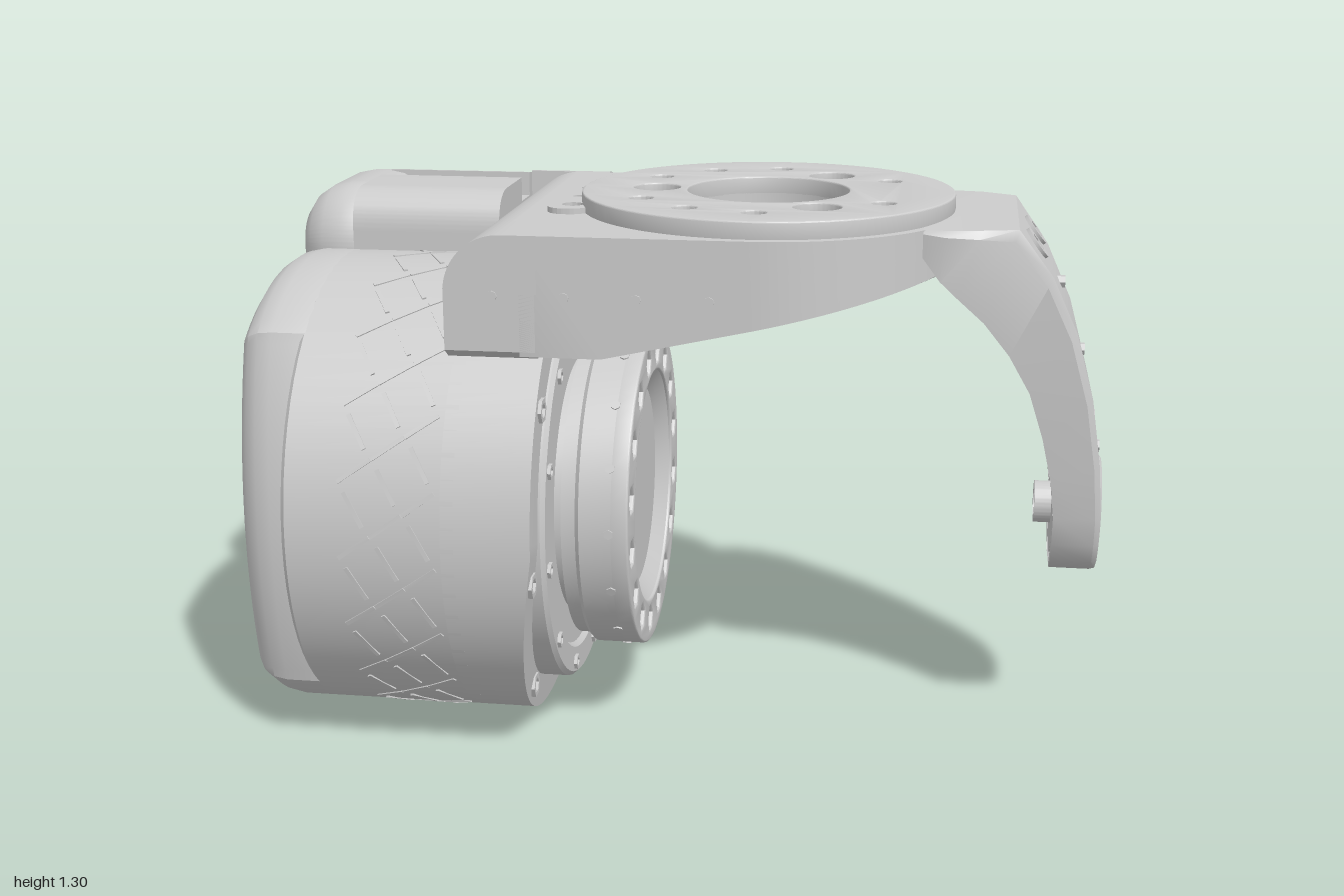
import * as THREE from 'three';
import { mergeGeometries, toCreasedNormals } from 'three/addons/utils/BufferGeometryUtils.js';

const MAT = new THREE.MeshStandardMaterial({ color: 0xcccccc, side: THREE.DoubleSide });
const PI = Math.PI;
const CY = 0.56, CZ = 0.05; // motor axis (runs along x)
const RX = 0.2;             // centre of the mounting ring (runs along y)

export function createModel() {
  const model = new THREE.Group();

  const add = (name, geos) => {
    const list = [].concat(geos).map(g => (g.index ? g.toNonIndexed() : g));
    const mesh = new THREE.Mesh(toCreasedNormals(mergeGeometries(list), 0.55), MAT);
    mesh.name = name;
    model.add(mesh);
  };
  const extrude = (shape, depth, bevel = 0) => new THREE.ExtrudeGeometry(shape, {
    depth: depth - 2 * bevel, bevelEnabled: bevel > 0, bevelSize: bevel, bevelThickness: bevel,
    bevelOffset: -bevel, bevelSegments: 4, curveSegments: 32,
  }).translate(0, 0, bevel);
  // shape drawn in (-z, y), swept from x0 to x1
  const alongX = (shape, x0, x1, bevel) => extrude(shape, x1 - x0, bevel).rotateY(PI / 2).translate(x0, 0, 0);
  // shape drawn in (x, -z), swept from y0 to y1
  const alongY = (shape, y0, y1, bevel) => extrude(shape, y1 - y0, bevel).rotateX(-PI / 2).translate(0, y0, 0);
  const disc = (r, cx, cy, Type = THREE.Path) => new Type().absarc(cx, cy, r, 0, 2 * PI, false);
  const polygon = pts => new THREE.Path(pts.map(p => new THREE.Vector2(...p)));
  const hexagon = (cx, cy, r) => polygon([0, 1, 2, 3, 4, 5].map(i =>
    [cx + r * Math.cos(i * PI / 3), cy + r * Math.sin(i * PI / 3)]));
  const roundRect = (x0, y0, x1, y1, r) => new THREE.Shape()
    .absarc(x1 - r, y1 - r, r, 0, PI / 2).absarc(x0 + r, y1 - r, r, PI / 2, PI)
    .absarc(x0 + r, y0 + r, r, PI, 1.5 * PI).absarc(x1 - r, y0 + r, r, 1.5 * PI, 2 * PI);
  // move each vertex by a rule
  const reshape = (geo, rule) => {
    const p = geo.attributes.position, v = new THREE.Vector3();
    for (let i = 0; i < p.count; i++) {
      rule(v.fromBufferAttribute(p, i));
      p.setXYZ(i, v.x, v.y, v.z);
    }
    return geo;
  };
  // revolve [radius, x] pairs about the motor axis
  const turned = pts => new THREE.LatheGeometry(pts.map(p => new THREE.Vector2(...p)), 64)
    .rotateZ(-PI / 2).translate(0, CY, CZ);
  const pegX = (r, x0, x1, y, z, sides = 6) =>
    new THREE.CylinderGeometry(r, r, x1 - x0, sides).rotateZ(-PI / 2).translate((x0 + x1) / 2, y, z);
  const around = (n, r, offset, make) => Array.from({ length: n }, (_, i) => {
    const a = offset + i * 2 * PI / n;
    return make(CY + r * Math.sin(a), CZ + r * Math.cos(a));
  });
  // socket screw: round collar with a hexagonal hole
  const screw = (r, x, y, z) => {
    const s = disc(r, -z, y, THREE.Shape);
    s.holes.push(hexagon(-z, y, r * 0.6));
    return new THREE.ExtrudeGeometry(s, { depth: 0.03, bevelEnabled: false, curveSegments: 3 })
      .rotateY(PI / 2).translate(x - 0.022, 0, 0);
  };

  // Motor housing with a stepped front face
  add('motorHousing', turned([[0, -0.84], [0.55, -0.84], [0.56, -0.83], [0.56, -0.44], [0.48, -0.44],
    [0.48, -0.26], [0.47, -0.25], [0.41, -0.25], [0.40, -0.262], [0.31, -0.262], [0, -0.262]]));

  // Slanted ridges round the housing
  const ridges = [];
  for (let row = 0; row < 3; row++) {
    for (let i = 0; i < 40; i++) {
      const tilt = (i + row) % 2 ? 0.5 : -0.95;
      ridges.push(new THREE.BoxGeometry(0.01, 0.012, 0.09).rotateY(tilt)
        .translate(-0.67 + row * 0.075, 0.556, 0).rotateX((i + row * 0.4) * 2 * PI / 40)
        .translate(0, CY, CZ));
    }
  }
  add('housingRidges', ridges);

  // Rear cover: disc flattened on one side, with a rounded triangular recess
  const cover = new THREE.Shape().absarc(-CZ, CY, 0.56, PI + 0.82, 3 * PI - 0.9, false)
    .quadraticCurveTo(-0.545, 0.58, -CZ - 0.56 * Math.cos(0.82), CY - 0.56 * Math.sin(0.82));
  const recess = new THREE.Path();
  for (let k = 0; k < 3; k++) {
    const a = PI + k * 2 * PI / 3;
    recess.absarc(-0.02 + 0.16 * Math.cos(a), 0.51 + 0.16 * Math.sin(a), 0.11, a - PI / 3, a + PI / 3, false);
  }
  cover.holes.push(recess);
  add('rearCover', alongX(cover, -1, -0.74, 0.09));
  add('rearCoverFloor', pegX(0.34, -0.95, -0.83, 0.54, 0.03, 48));

  // Cable box on the upper back, slotted on top
  add('cableBoxRear', alongX(roundRect(0.03, 0.62, 0.52, 1.26, 0.15), -1, -0.73, 0.12));
  const slotted = new THREE.Shape().moveTo(0.03, 0.75).lineTo(0.16, 0.62).lineTo(0.4, 0.6).lineTo(0.52, 0.68)
    .lineTo(0.525, 1.13).quadraticCurveTo(0.52, 1.25, 0.38, 1.26).lineTo(0.38, 1.2).lineTo(0.29, 1.2)
    .lineTo(0.29, 1.26).lineTo(0.13, 1.26).quadraticCurveTo(0.03, 1.26, 0.03, 1.16);
  add('cableBoxFront', alongX(slotted, -0.84, -0.47));

  // Bracket plate round the motor front, with an ear and socket at the back
  const plateFront = y => -0.265 - Math.max(0, 0.55 - y) * 0.14;
  const plate = new THREE.Shape().moveTo(-0.51, 1.14).lineTo(-0.51, 1).lineTo(-0.48, 0.98).lineTo(-0.4, 0.98)
    .absarc(-CZ, CY, 0.56, 2.27, 2 * PI + 0.07, false)
    .lineTo(0.53, 0.73).lineTo(0.6, 0.92).lineTo(0.605, 1.13)
    .quadraticCurveTo(0.57, 1.25, 0.41, 1.26).lineTo(0.41, 1.14);
  plate.holes.push(disc(0.47, -CZ, CY),
    polygon([[0.34, 0.95], [0.55, 0.95], [0.55, 1.06], [0.34, 1.06]]));
  add('bracketPlate', reshape(alongX(plate, -0.47, -0.265), v => {
    if (v.x > -0.3) v.x = plateFront(v.y);
  }));
  add('socketFloor', new THREE.BoxGeometry(0.08, 0.13, 0.12).translate(-0.36, 1.005, -0.395));
  add('socketBack', new THREE.BoxGeometry(0.06, 0.13, 0.24).translate(-0.42, 1.005, -0.445));

  // Fillets blending the ear into the arm and into the cable box
  const earFillet = new THREE.Shape().moveTo(-0.28, 0.4).lineTo(-0.28, 0.54)
    .quadraticCurveTo(-0.25, 0.43, -0.16, 0.4);
  add('earArmFillet', alongY(earFillet, 1.13, 1.21));
  const boxFillet = new THREE.Shape().moveTo(-0.62, 0.5).lineTo(-0.62, 0.525)
    .quadraticCurveTo(-0.5, 0.53, -0.465, 0.6).lineTo(-0.465, 0.5);
  add('earBoxFillet', [reshape(alongY(boxFillet, 0.73, 0.93), v => {
    if (v.y < 0.8) v.z = Math.max(v.z, -0.53);
  }), alongY(boxFillet, 0.93, 1.13)]);

  // Rounded shoulder joining plate and arm
  const shoulder = new THREE.Shape().moveTo(-0.26, 1.13).lineTo(-0.26, 1.26).lineTo(-0.34, 1.26)
    .absarc(-0.34, 1.13, 0.13, PI / 2, PI, false);
  add('bracketShoulder', extrude(shoulder, 0.92).translate(0, 0, -0.41));

  // Upper arm: top plate counterbored from below, mounting ring and tapering skirt
  const ringHoles = smallRadius => {
    const holes = [disc(0.19, RX, -CZ)];
    for (let i = 1; i < 12; i++) {
      const a = i * PI / 6, big = i % 4 === 2;
      const r = big ? 0.264 : 0.32;
      holes.push(disc(big ? 0.055 : smallRadius, RX + r * Math.cos(a), -CZ + r * Math.sin(a)));
    }
    return holes;
  };
  const armOutline = (inset, Type) => {
    const r = 0.46 - inset, back = -0.3;
    return new Type().moveTo(back, -CZ - r).lineTo(-0.12, -CZ - r).lineTo(RX, -CZ - r)
      .absarc(RX, -CZ, r, -PI / 2, PI / 2, false).lineTo(-0.12, -CZ + r).lineTo(back, -CZ + r);
  };
  const top = armOutline(0, THREE.Shape);
  top.holes.push(...ringHoles(0.045));
  add('armPlate', alongY(top, 1.19, 1.26));
  const ring = disc(0.437, RX, -CZ, THREE.Shape);
  ring.holes.push(...ringHoles(0.028));
  add('mountingRing', alongY(ring, 1.255, 1.3, 0.004));

  const skirt = armOutline(0, THREE.Shape);
  skirt.holes.push(armOutline(0.05, THREE.Path));
  add('armSkirt', reshape(alongY(skirt, 1, 1.25), v => {
    if (v.y > 1.1) return;
    const t = THREE.MathUtils.clamp((v.x + 0.12) / 0.72, 0, 1);
    v.y = THREE.MathUtils.lerp(v.z > 0 ? 0.99 : 1.12, 1.15, t);
  }));
  add('skirtPins', [-0.36, -0.2, -0.04, 0.12].map(x =>
    new THREE.CylinderGeometry(0.012, 0.012, 0.02, 8).rotateX(PI / 2).translate(x, 1.125, 0.504)));

  // Small tab beside the ring
  const tab = roundRect(-0.3, -0.23, -0.2, 0.14, 0.045);
  tab.holes.push(disc(0.025, -0.245, -0.165), disc(0.012, -0.255, -0.05), disc(0.025, -0.245, 0.075));
  add('ringTab', alongY(tab, 1.25, 1.273));

  // Output rotor with a dished centre and a ring of screw pockets
  add('rotorBody', turned([[0, -0.27], [0.315, -0.27], [0.315, -0.235], [0.37, -0.235], [0.37, -0.2],
    [0.38, -0.2], [0.39, -0.19], [0.39, -0.115], [0, -0.115]]));
  add('rotorDish', turned([[0.29, -0.078], [0.245, -0.112], [0, -0.112]]));
  const rotorFace = disc(0.39, -CZ, CY, THREE.Shape);
  rotorFace.holes.push(disc(0.285, -CZ, CY),
    ...around(16, 0.332, PI / 16, (y, z) => hexagon(-z, y, 0.035)));
  add('rotorFace', alongX(rotorFace, -0.12, -0.075, 0.005));
  add('rotorScrews', around(16, 0.332, PI / 16, (y, z) => pegX(0.02, -0.12, -0.09, y, z)));
  add('rotorSideScrews', Array.from({ length: 16 }, (_, i) => new THREE.CylinderGeometry(0.012, 0.012, 0.01, 6)
    .translate(-0.12, 0.388, 0).rotateX(i * PI / 8).translate(0, CY, CZ)));

  // Screws on the flange and face ring
  add('flangeScrews', around(8, 0.517, -0.17, (y, z) => screw(0.03, plateFront(y), y, z)));
  add('faceScrews', around(12, 0.445, -0.17, (y, z) => screw(0.019, -0.25, y, z)));

  // Curved side arm: hollow channel lofted through sections
  // each section: outer x, outer y, inner x, inner y, half width, channel depth
  const sections = [
    [0.57, 1.26, 0.57, 1.2, 0.28, 0], [0.62, 1.262, 0.61, 1.15, 0.295, 0], [0.7, 1.262, 0.65, 1.11, 0.282, 0.3],
    [0.78, 1.26, 0.71, 1.05, 0.25, 0.55], [0.86, 1.15, 0.77, 0.97, 0.222, 0.55],
    [0.92, 1.02, 0.82, 0.88, 0.205, 0.5], [0.965, 0.86, 0.855, 0.77, 0.187, 0.5],
    [0.99, 0.7, 0.88, 0.66, 0.172, 0.5], [1, 0.57, 0.89, 0.57, 0.16, 0.5],
    [1, 0.5, 0.89, 0.5, 0.145, 0.5], [1, 0.45, 0.89, 0.45, 0.112, 0.4],
    [0.998, 0.42, 0.89, 0.42, 0.075, 0], [0.99, 0.407, 0.9, 0.407, 0.02, 0]];
  const pos = [], idx = [], N = 10;
  sections.forEach(([xo, yo, xi, yi, w, d], k) => {
    const rim = Math.min(0.035, w * 0.35);
    const half = [[0, w - rim * 0.4], [0.12, w], [1, w], [1, w - rim], [1 - d, w - rim]];
    const loop = [...half, ...half.map(([t, z]) => [t, -z]).reverse()];
    loop.forEach(([t, z]) => pos.push(xo + (xi - xo) * t, yo + (yi - yo) * t, CZ + z));
    if (k) for (let j = 0; j < N; j++) {
      const a = (k - 1) * N + j, b = (k - 1) * N + (j + 1) % N;
      idx.push(a, a + N, b, b, a + N, b + N);
    }
  });
  const last = (sections.length - 1) * N;
  for (let j = 1; j < N - 1; j++) idx.push(0, j, j + 1, last, last + j + 1, last + j);
  const armGeo = new THREE.BufferGeometry();
  armGeo.setAttribute('position', new THREE.Float32BufferAttribute(pos, 3));
  armGeo.setIndex(idx);
  add('sideArm', armGeo);

  // Pivot at the lower end of the side arm
  add('pivotBoss', turned([[0.035, 0.9], [0.035, 0.85], [0.05, 0.85], [0.05, 0.89], [0.12, 0.89], [0.12, 0.998],
    [0.112, 1.003], [0.045, 1.003], [0.035, 0.985], [0, 0.985]]));

  // Screws at the shoulder and pins down the outer face of the side arm
  add('shoulderScrews', [-0.035, 0.135].map(z => {
    const s = disc(0.04, 0, 0, THREE.Shape);
    s.holes.push(hexagon(0, 0, 0.024));
    return new THREE.ExtrudeGeometry(s, { depth: 0.03, bevelEnabled: false })
      .rotateY(PI / 2).rotateZ(0.63).translate(0.804, 1.189, z);
  }));
  add('sideArmPins', [[0.892, 1.1, 0.05], [0.945, 0.94, 0.05], [0.978, 0.78, 0.05], [0.984, 0.74, -0.07],
    [0.984, 0.74, 0.17]].map(([x, y, z]) => pegX(0.015, x - 0.02, x + 0.004, y, z)));

  return model;
}
